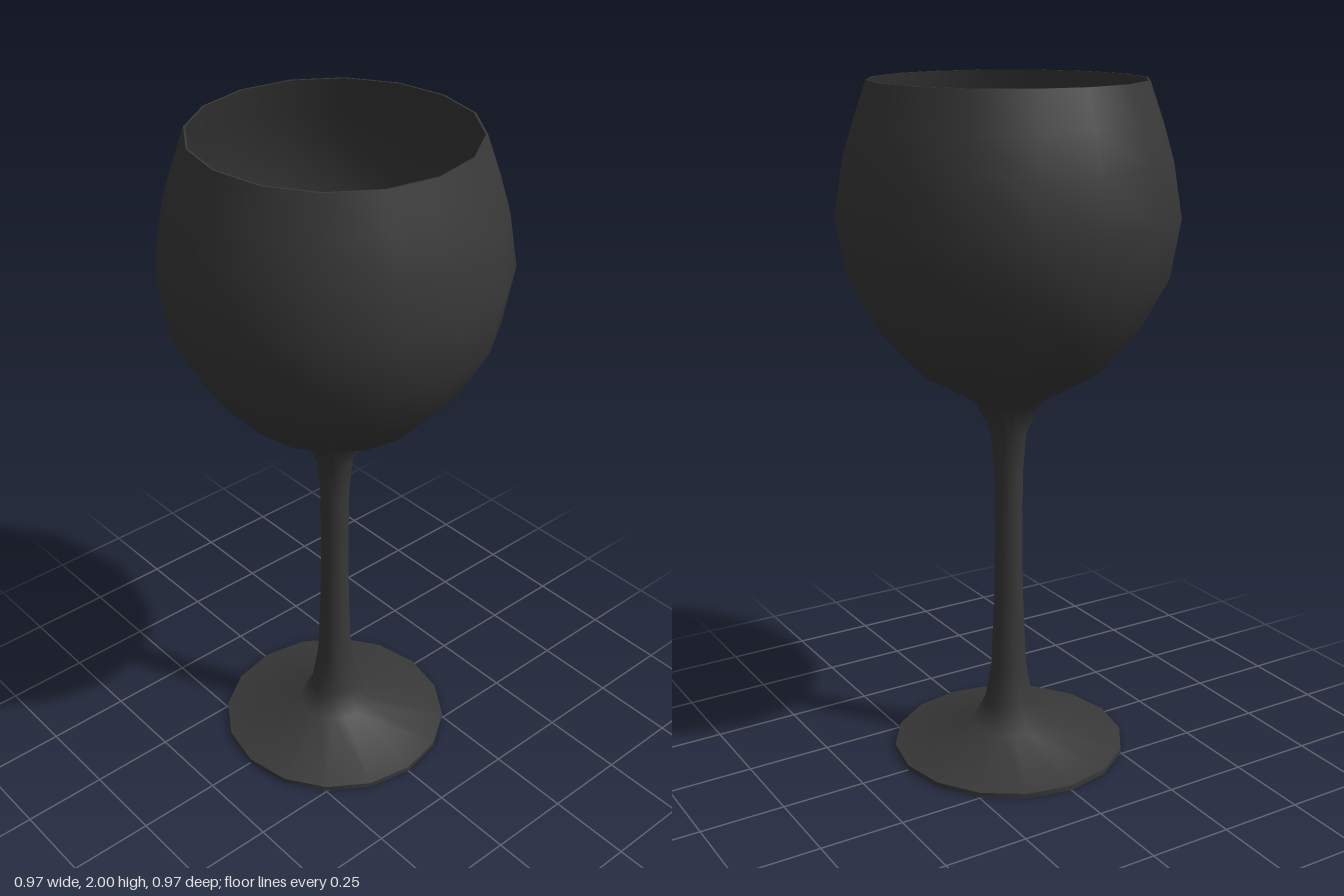
import * as THREE from 'three';

const SIDES = 16;
const material = new THREE.MeshStandardMaterial({ color: 0x383838 });

// Revolves [radius, height] pairs; going upward faces out, going downward faces in
function turned(name, profile) {
  const points = profile.map(([r, y]) => new THREE.Vector2(r, y));
  const mesh = new THREE.Mesh(new THREE.LatheGeometry(points, SIDES), material);
  mesh.name = name;
  return mesh;
}

export function createModel() {
  const glass = new THREE.Group();
  glass.name = 'wineGlass';

  // Flat underside and thin edge of the foot
  glass.add(turned('footUnderside', [[0, 0], [0.35, 0]]));
  glass.add(turned('footEdge', [[0.35, 0], [0.35, 0.015]]));

  // Foot, stem and outer bowl flow together as one smooth skin
  glass.add(turned('footStemAndBowl', [
    [0.35, 0.015], [0.11, 0.075], [0.073, 0.147], [0.053, 0.265],
    [0.044, 0.48], [0.041, 0.68], [0.043, 0.88], [0.053, 1.0],
    [0.1, 1.098], [0.267, 1.195], [0.37, 1.31], [0.455, 1.47],
    [0.483, 1.635], [0.457, 1.79], [0.427, 1.89], [0.388, 2.0],
  ]));

  // Narrow rim
  glass.add(turned('rim', [[0.388, 2.0], [0.382, 2.0]]));

  // Inside of the bowl
  glass.add(turned('bowlInside', [
    [0.382, 2.0], [0.42, 1.89], [0.449, 1.79], [0.475, 1.635],
    [0.447, 1.474], [0.363, 1.318], [0.262, 1.205], [0.1, 1.115], [0, 1.105],
  ]));

  return glass;
}
